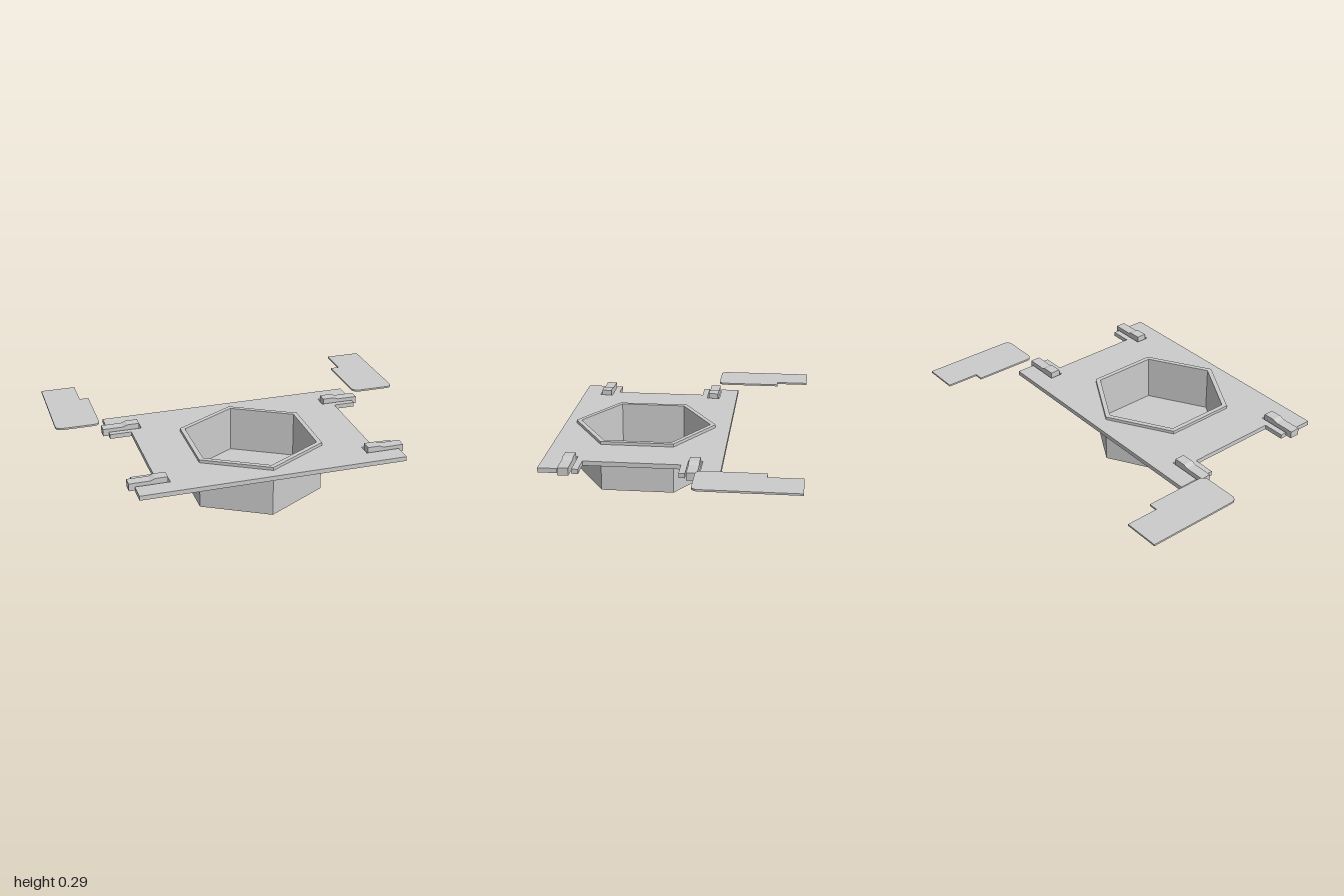
import * as THREE from 'three';

const material = new THREE.MeshStandardMaterial({ color: 0xcccccc, flatShading: true });
const HEX_Z = 0.217;

const toPoints = (list) => list.map(([x, y]) => new THREE.Vector2(x, y));

// Pointed ends of the hexagon lie along z
function hexagon(radius) {
  return Array.from({ length: 6 }, (_, i) => {
    const a = Math.PI / 6 + (i * Math.PI) / 3;
    return [radius * Math.cos(a), HEX_Z + radius * Math.sin(a)];
  });
}

// Lay an (x, z) outline flat between two heights
function slab(shape, bottom, top) {
  const g = new THREE.ExtrudeGeometry(shape, { depth: top - bottom, bevelEnabled: false, curveSegments: 6 });
  return g.rotateX(Math.PI / 2).translate(0, top, 0);
}

function addMesh(parent, name, geometry) {
  const mesh = new THREE.Mesh(geometry, material);
  mesh.name = name;
  parent.add(mesh);
  return mesh;
}

export function createModel() {
  const model = new THREE.Group();
  model.name = 'mountingTray';

  // Base plate with side recesses, clip slots and a hexagonal opening
  const side = [
    [0.72, -0.26], [0.72, -0.157], [0.537, -0.157], [0.537, -0.083], [0.72, -0.083],
    [0.72, -0.05], [0.6, -0.05], [0.6, 0.463], [0.72, 0.463],
    [0.72, 0.498], [0.537, 0.498], [0.537, 0.572], [0.72, 0.572], [0.72, 0.673],
  ];
  const mirrored = side.map(([x, z]) => [-x, z]).reverse();
  const plate = new THREE.Shape(toPoints([...side, ...mirrored]));
  plate.holes.push(new THREE.Path(toPoints(hexagon(0.385))));
  addMesh(model, 'basePlate', slab(plate, 0.238, 0.263));

  // Hollow hexagonal cup
  const wall = new THREE.Shape(toPoints(hexagon(0.395)));
  wall.holes.push(new THREE.Path(toPoints(hexagon(0.366))));
  addMesh(model, 'cupWall', slab(wall, 0, 0.28));
  addMesh(model, 'cupFloor', slab(new THREE.Shape(toPoints(hexagon(0.38))), 0, 0.022));

  // Clip side profile: raised inner end sloping to a lower outer tab
  const clipProfile = new THREE.Shape(toPoints([
    [0.547, 0.238], [0.75, 0.238], [0.75, 0.279], [0.637, 0.279], [0.612, 0.289], [0.547, 0.289],
  ]));

  // Side panel outline: stepped at the back, rounded at the front
  const r = 0.035;
  const panel = new THREE.Shape();
  panel.moveTo(0.805, -0.68);
  panel.lineTo(1, -0.68);
  panel.lineTo(1, -0.14 - r);
  panel.absarc(1 - r, -0.14 - r, r, 0, Math.PI / 2, false);
  panel.lineTo(0.755 + r, -0.14);
  panel.absarc(0.755 + r, -0.14 - r, r, Math.PI / 2, Math.PI, false);
  panel.lineTo(0.755, -0.5);
  panel.lineTo(0.805, -0.5);
  panel.closePath();

  for (const [label, sign] of [['left', 1], ['right', -1]]) {
    const half = new THREE.Group();
    half.name = label + 'Fittings';
    half.scale.x = sign;
    model.add(half);
    for (const [place, z] of [['Back', -0.148], ['Front', 0.507]]) {
      const clip = new THREE.ExtrudeGeometry(clipProfile, { depth: 0.056, bevelEnabled: false });
      addMesh(half, label + place + 'Clip', clip.translate(0, 0, z));
    }
    addMesh(half, label + 'Panel', slab(panel, 0.285, 0.295));
  }

  return model;
}
